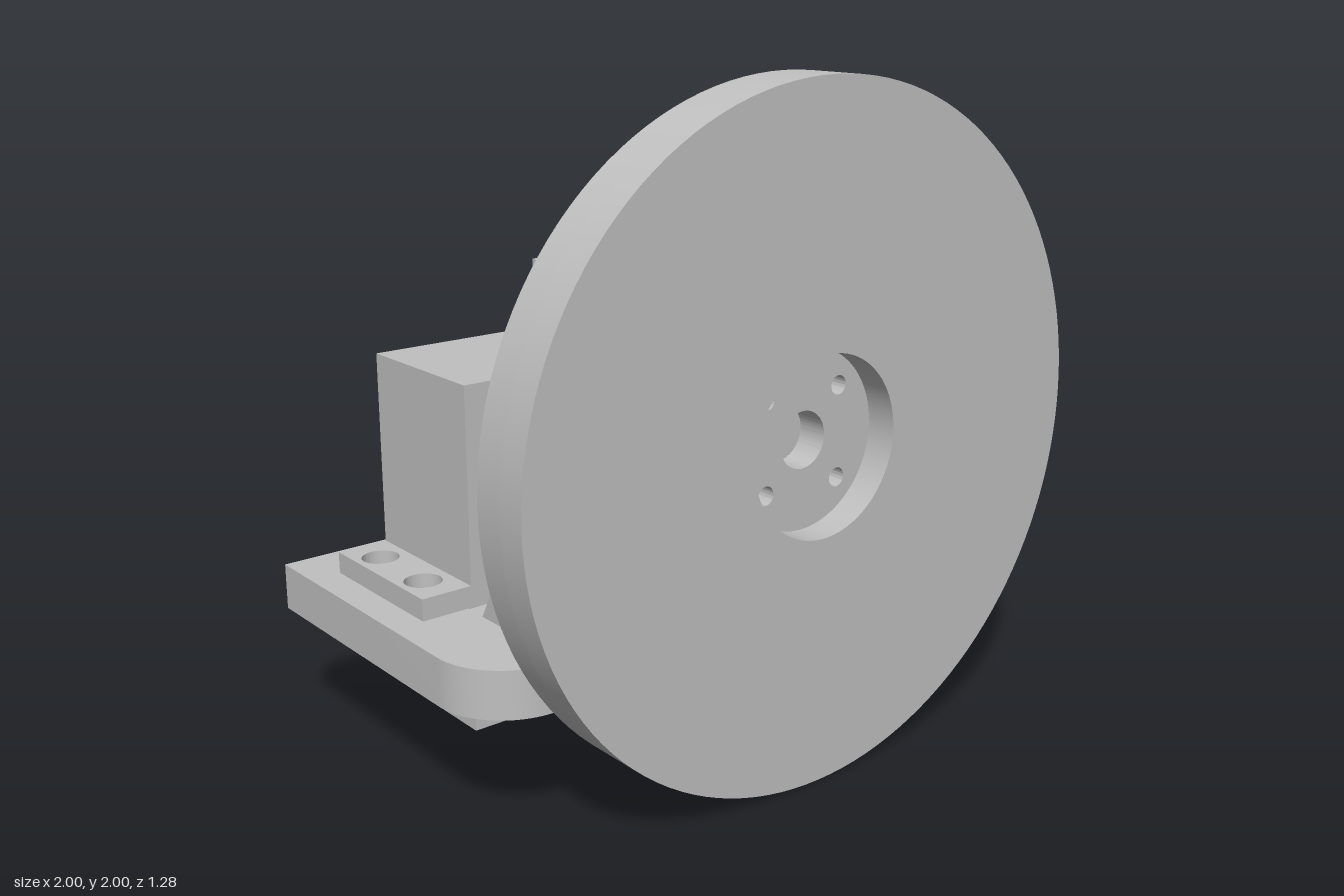
import * as THREE from 'three';
import { toCreasedNormals } from 'three/addons/utils/BufferGeometryUtils.js';

const grey = new THREE.MeshStandardMaterial({ color: 0xc0c0c0 });
grey.name = 'light grey';

const circle = (Type, x, y, r) => new Type().absarc(x, y, r, 0, Math.PI * 2, false);
const hole = (x, y, r) => circle(THREE.Path, x, y, r);
const rect = (Type, x0, y0, x1, y1) => new Type([[x0, y0], [x1, y0], [x1, y1], [x0, y1]]
  .map(([x, y]) => new THREE.Vector2(x, y)));

function extrude(shape, depth, curveSegments = 32) {
  return new THREE.ExtrudeGeometry(shape, { depth, bevelEnabled: false, curveSegments });
}

export function createModel() {
  const model = new THREE.Group();
  const add = (name, geometry, parent = model) => {
    const mesh = new THREE.Mesh(toCreasedNormals(geometry, 0.5), grey);
    mesh.name = name;
    parent.add(mesh);
    return mesh;
  };
  // Shape drawn in (x, z), extruded downwards from the given top height
  const slab = (shape, top, thickness) =>
    extrude(shape, thickness).rotateX(Math.PI / 2).translate(0, top, 0);

  // Wheel: front half has the hub recess, back half the hub holes
  const wheel = new THREE.Group();
  wheel.name = 'wheel';
  model.add(wheel);
  const front = circle(THREE.Shape, 0, 1, 1);
  front.holes.push(hole(0, 1, 0.262));
  add('wheelFront', extrude(front, 0.095, 64).translate(0, 0, 0.545), wheel);
  const back = circle(THREE.Shape, 0, 1, 1);
  back.holes.push(hole(0, 1, 0.083));
  for (const x of [-0.135, 0.135])
    for (const y of [0.865, 1.135]) back.holes.push(hole(x, y, 0.028));
  add('wheelBack', extrude(back, 0.095, 64).translate(0, 0, 0.45), wheel);

  // L bracket
  const bracket = new THREE.Group();
  bracket.name = 'bracket';
  model.add(bracket);

  const upright = rect(THREE.Shape, -0.76, 0.525, 0.47, 1.57);
  for (const x of [-0.575, 0.285])
    for (const y of [0.69, 1.28]) upright.holes.push(hole(x, y, 0.042));
  add('uprightPlate', extrude(upright, 0.09).translate(0, 0, 0.36), bracket);

  const base = new THREE.Shape();
  base.moveTo(-1, -0.64);
  base.lineTo(0.47, -0.64);
  base.lineTo(0.47, 0.45);
  base.lineTo(-0.78, 0.45);
  base.absarc(-0.78, 0.23, 0.22, Math.PI / 2, Math.PI, false);
  base.closePath();
  const screwZ = [-0.36, -0.12];
  base.holes.push(rect(THREE.Path, -0.758, -0.485, 0.235, 0.005));
  for (const x of [-0.83, 0.3])
    for (const z of screwZ) base.holes.push(hole(x, z, 0.042));
  add('basePlate', slab(base, 0.525, 0.14), bracket);

  // Triangular gussets, the right one slightly taller
  for (const [name, x, width, top] of [['rightGusset', -0.76, 0.095, 1.05], ['leftGusset', 0.38, 0.09, 1.0]]) {
    // drawn in (-z, y) and turned so that the extrusion runs along +x
    const tri = new THREE.Shape([[-0.36, 0.525], [-0.075, 0.525], [-0.36, top]]
      .map(([u, v]) => new THREE.Vector2(u, v)));
    add(name, extrude(tri, width).rotateY(Math.PI / 2).translate(x, 0, 0), bracket);
  }

  // Motor with mounting ears and output shaft
  const motor = new THREE.Group();
  motor.name = 'motor';
  model.add(motor);
  add('motorBody', new THREE.BoxGeometry(0.975, 1.025, 0.475).translate(-0.26, 0.6575, -0.2375), motor);
  for (const [name, x0, x1, hx] of [['rightEar', -0.905, -0.7475, -0.83], ['leftEar', 0.2275, 0.38, 0.3]]) {
    const ear = rect(THREE.Shape, x0, -0.475, x1, 0);
    for (const z of screwZ) ear.holes.push(hole(hx, z, 0.055));
    add(name, slab(ear, 0.59, 0.065), motor);
  }
  add('motorShaft', new THREE.CylinderGeometry(0.07, 0.07, 0.1, 48).translate(-0.01, 0.097, -0.235), motor);

  return model;
}
